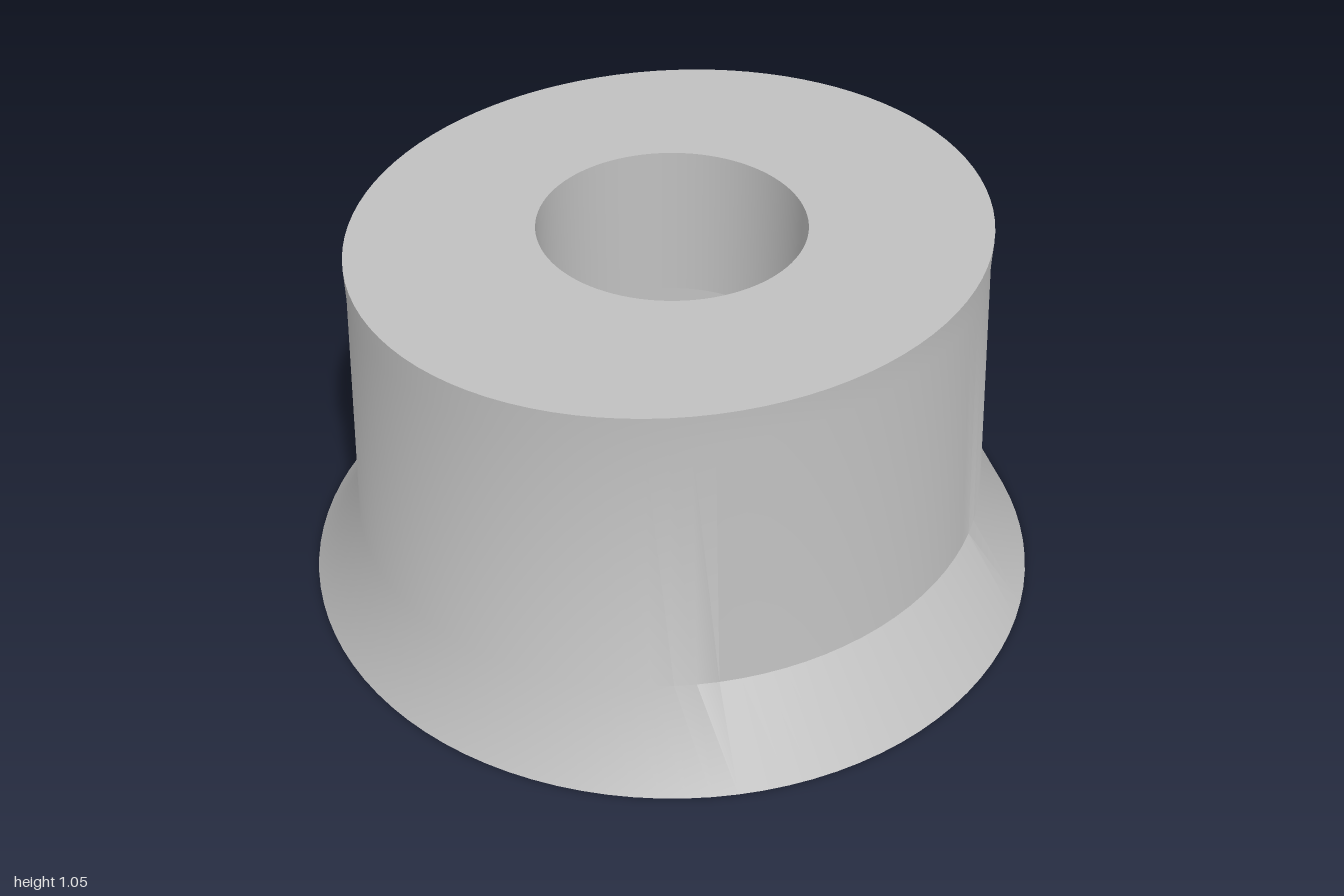
import * as THREE from 'three';
import { toCreasedNormals } from 'three/addons/utils/BufferGeometryUtils.js';

const SEGMENTS = 96;
const HEIGHT = 1.05, BORE = 0.35, HEX = 0.616, RECESS = 0.61;

// Outer wall sections from bottom to top: [y, half width in x, half depth in z]
const RINGS = [
  [0, 1, 1],
  [0.24, 0.83, 0.88],
  [0.96, 0.783, 0.857],
  [HEIGHT, 0.787, 0.858],
];

// Ellipse or polygon outline
function outline(Type, rx, rz, sides) {
  const points = [];
  for (let i = 0; i < sides; i++) {
    const a = (i / sides) * Math.PI * 2;
    points.push(new THREE.Vector2(rx * Math.cos(a), rz * Math.sin(a)));
  }
  return new Type(points);
}

// Flat face with a hole, facing up (dir = 1) or down (dir = -1)
function plate(outer, hole, y, dir) {
  outer.holes.push(hole);
  return new THREE.ShapeGeometry(outer).rotateX(-dir * Math.PI / 2).translate(0, y, 0);
}

// Upright wall facing inwards
function innerWall(radius, top, bottom, sides) {
  const profile = [new THREE.Vector2(radius, top), new THREE.Vector2(radius, bottom)];
  return new THREE.LatheGeometry(profile, sides);
}

// Flared skirt and body: a lathe whose rings are stretched to ellipses
function outerWall() {
  const geometry = new THREE.LatheGeometry(RINGS.map(([y]) => new THREE.Vector2(1, y)), SEGMENTS);
  const pos = geometry.attributes.position;
  for (let i = 0; i < pos.count; i++) {
    const [y, rx, rz] = RINGS[i % RINGS.length];
    pos.setXYZ(i, pos.getX(i) * rx, y, pos.getZ(i) * rz);
  }
  return toCreasedNormals(geometry, THREE.MathUtils.degToRad(30));
}

export function createModel() {
  const model = new THREE.Group();
  model.name = 'flaredSpacer';
  const grey = new THREE.MeshStandardMaterial({ color: 0xc0c0c0 });
  grey.name = 'light grey';

  const add = (name, geometry) => {
    const mesh = new THREE.Mesh(geometry, grey);
    mesh.name = name;
    model.add(mesh);
  };

  add('outerWall', outerWall());

  const [, topX, topZ] = RINGS[RINGS.length - 1];
  add('topFace', plate(
    outline(THREE.Shape, topX, topZ, SEGMENTS),
    outline(THREE.Path, BORE, BORE, SEGMENTS), HEIGHT, 1));
  add('boreWall', innerWall(BORE, HEIGHT, RECESS, SEGMENTS));

  // Hexagonal nut recess, corners on the x axis
  add('bottomFace', plate(
    outline(THREE.Shape, 1, 1, SEGMENTS),
    outline(THREE.Path, HEX, HEX, 6), 0, -1));
  add('recessWall', toCreasedNormals(
    innerWall(HEX, RECESS, 0, 6).rotateY(Math.PI / 6), 0.5));
  add('recessCeiling', plate(
    outline(THREE.Shape, HEX, HEX, 6),
    outline(THREE.Path, BORE, BORE, SEGMENTS), RECESS, -1));

  return model;
}
